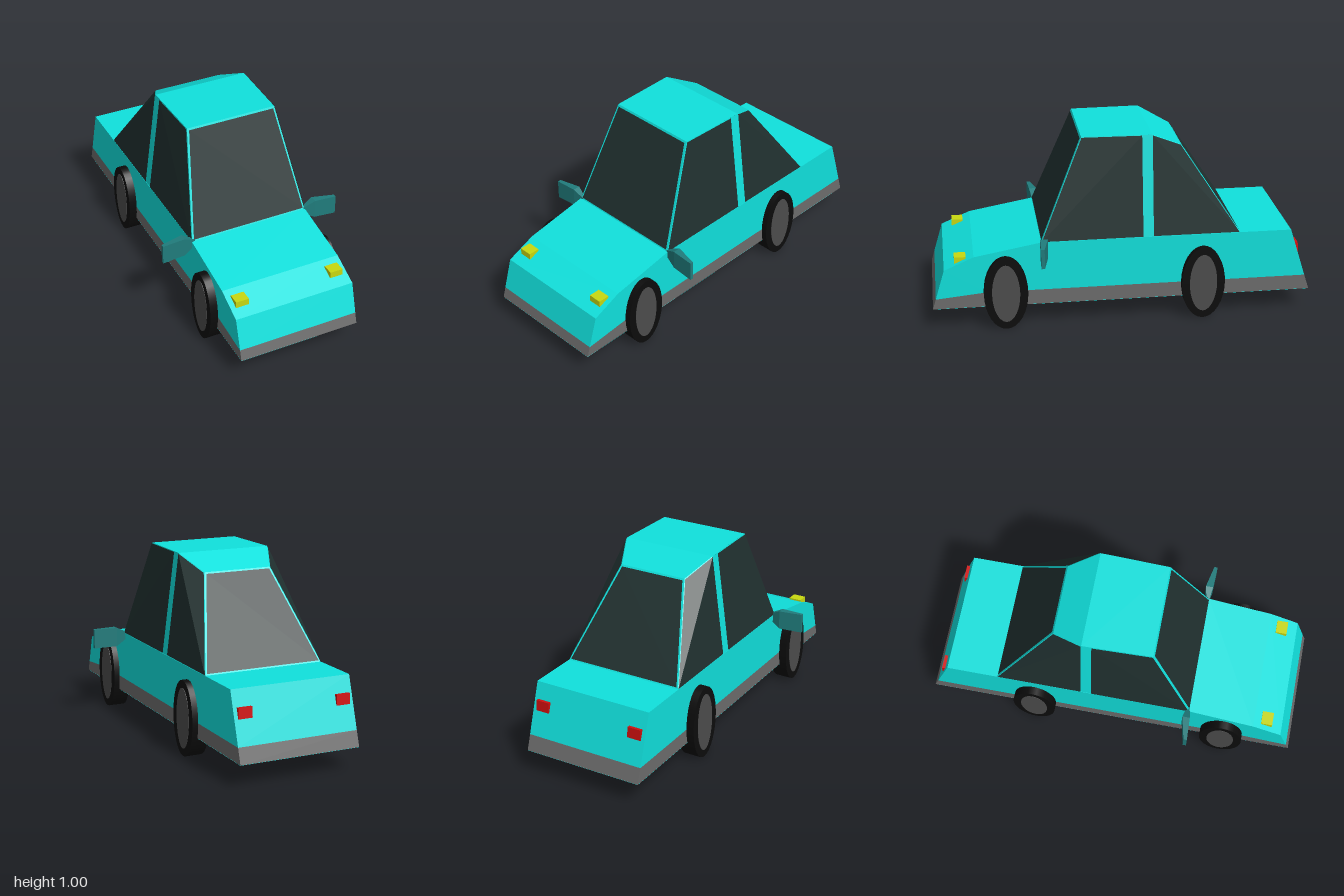
import * as THREE from 'three';

const mat = (color, extra = {}) => new THREE.MeshStandardMaterial({ color, flatShading: true, ...extra });
const paint = mat(0x10e0dc, { side: THREE.DoubleSide });
const glass = mat(0x20302f, { side: THREE.DoubleSide });
const trim = mat(0x6c6c6c);
const rubber = new THREE.MeshStandardMaterial({ color: 0x0c0c0c });
const hubGrey = mat(0x4c4c4c);
const mirrorTeal = mat(0x207c7c, { side: THREE.DoubleSide });
const lampYellow = mat(0xc8d810);
const lampRed = mat(0xd01010);

const CX = -0.005; // body centre line
const HALF = 0.328; // body half width

export function createModel() {
  const car = new THREE.Group();
  car.name = 'car';

  const add = (name, geometry, material, x = 0, y = 0, z = 0) => {
    const mesh = new THREE.Mesh(geometry, material);
    mesh.name = name;
    mesh.position.set(x, y, z);
    car.add(mesh);
    return mesh;
  };

  // Side profile given as [z, y], extruded across the width
  const sideExtrude = (points) => {
    const shape = new THREE.Shape(points.map(([z, y]) => new THREE.Vector2(z, y)));
    return new THREE.ExtrudeGeometry(shape, { depth: HALF * 2, bevelEnabled: false })
      .rotateY(-Math.PI / 2).translate(HALF, 0, 0);
  };

  // Flat polygon from a loop of corners
  const panel = (corners) => {
    const pos = [];
    for (let i = 1; i < corners.length - 1; i++) {
      for (const p of [corners[0], corners[i], corners[i + 1]]) pos.push(...p);
    }
    const g = new THREE.BufferGeometry();
    g.setAttribute('position', new THREE.Float32BufferAttribute(pos, 3));
    g.computeVertexNormals();
    return g;
  };

  // Corners pulled in by a frame width and lifted off the shell
  const paneOf = (corners, inset, lift) => {
    const pts = corners.map((c) => new THREE.Vector3(...c));
    const mid = pts.reduce((s, p) => s.add(p), new THREE.Vector3()).divideScalar(pts.length);
    const n = pts[2].clone().sub(pts[0]).cross(pts[3].clone().sub(pts[1])).normalize();
    if (n.dot(mid.clone().sub(new THREE.Vector3(0, 0.6, -0.1))) < 0) n.negate();
    return pts.map((p) => {
      const dir = mid.clone().sub(p).normalize();
      return p.clone().addScaledVector(dir, inset).addScaledVector(n, lift).toArray();
    });
  };

  // Lower body, sill trim and floor
  add('body', sideExtrude([
    [0.983, 0.175], [0.935, 0.335], [0.78, 0.402], [0.43, 0.465],
    [-0.89, 0.465], [-0.974, 0.2], [0.72, 0.2],
  ]), paint, CX);
  add('sillTrim', sideExtrude([
    [1, 0.12], [0.983, 0.175], [0.72, 0.2], [-0.974, 0.2], [-1, 0.12],
  ]), trim, CX);
  add('floor', new THREE.PlaneGeometry(HALF * 2, 2).rotateX(Math.PI / 2), paint, CX, 0.119, 0);

  // Cabin corners on one side; s = 1 left, -1 right
  const corner = {
    frontBase: [0.326, 0.464, 0.43], frontTop: [0.247, 1, 0.21],
    postTopA: [0.256, 1, -0.105], postTopB: [0.257, 1, -0.155],
    rearTop: [0.187, 0.92, -0.315], rearBase: [0.326, 0.464, -0.615],
    postBaseA: [0.326, 0.464, -0.105], postBaseB: [0.326, 0.464, -0.155],
  };
  const at = (key, s) => [corner[key][0] * s, corner[key][1], corner[key][2]];
  const across = (a, b) => [at(a, 1), at(a, -1), at(b, -1), at(b, 1)];
  const along = (keys, s) => keys.map((k) => at(k, s));
  const glazed = (name, corners, inset) => {
    add(name + 'Frame', panel(corners), paint, CX);
    add(name, panel(paneOf(corners, inset, 0.003)), glass, CX);
  };

  // Roof and end windows
  add('roof', panel(across('frontTop', 'postTopB')), paint, CX);
  add('rearRoof', panel(across('postTopB', 'rearTop')), paint, CX);
  glazed('windshield', across('frontBase', 'frontTop'), 0.014);
  glazed('rearWindow', across('rearTop', 'rearBase'), 0.013);

  for (const s of [1, -1]) {
    const side = s > 0 ? 'left' : 'right';

    // Side windows and the post between them
    glazed(side + 'FrontWindow', along(['frontBase', 'frontTop', 'postTopA', 'postBaseA'], s), 0.004);
    glazed(side + 'RearWindow', along(['postTopB', 'rearTop', 'rearBase', 'postBaseB'], s), 0.004);
    add(side + 'Post', panel(along(['postBaseA', 'postTopA', 'postTopB', 'postBaseB'], s)), paint, CX);

    // Head and tail lamps
    add(side + 'Headlight', new THREE.BoxGeometry(0.07, 0.035, 0.06), lampYellow, CX + s * 0.265, 0.376, 0.85);
    const tail = add(side + 'TailLight', new THREE.BoxGeometry(0.075, 0.055, 0.03), lampRed, CX + s * 0.27, 0.353, -0.922);
    tail.rotation.x = 0.08;

    // Door mirror lofted through rectangular sections [x, yLow, yHigh, zBack, zFront]
    const sections = [
      [0.315, 0.435, 0.472, 0.415, 0.43],
      [0.378, 0.4, 0.503, 0.4, 0.44],
      [0.5, 0.393, 0.499, 0.427, 0.445],
    ].map(([x, y0, y1, z0, z1]) => [[x * s, y0, z0], [x * s, y1, z0], [x * s, y1, z1], [x * s, y0, z1]]);
    const mirror = new THREE.Group();
    mirror.name = side + 'Mirror';
    const face = (corners) => {
      const m = new THREE.Mesh(panel(corners), mirrorTeal);
      m.name = 'mirrorFace';
      mirror.add(m);
    };
    for (let i = 0; i < 2; i++) {
      for (let j = 0; j < 4; j++) {
        const k = (j + 1) % 4;
        const loop = [sections[i][j], sections[i][k], sections[i + 1][k], sections[i + 1][j]];
        face(s > 0 ? loop.reverse() : loop);
      }
    }
    face(s > 0 ? sections[2] : [...sections[2]].reverse());
    car.add(mirror);

    // Tall oval wheels with flat hubs
    for (const [end, z] of [['Front', 0.62], ['Rear', -0.42]]) {
      const oval = (rz, ry, width) => new THREE.CylinderGeometry(1, 1, width, 32)
        .rotateZ(Math.PI / 2).scale(1, ry, rz);
      const x = -0.01 + s * 0.319;
      add(side + end + 'Tyre', oval(0.115, 0.2, 0.092), rubber, x, 0.2, z);
      add(side + end + 'Hub', oval(0.073, 0.16, 0.094), hubGrey, x + s * 0.001, 0.2, z);
    }
  }

  return car;
}
